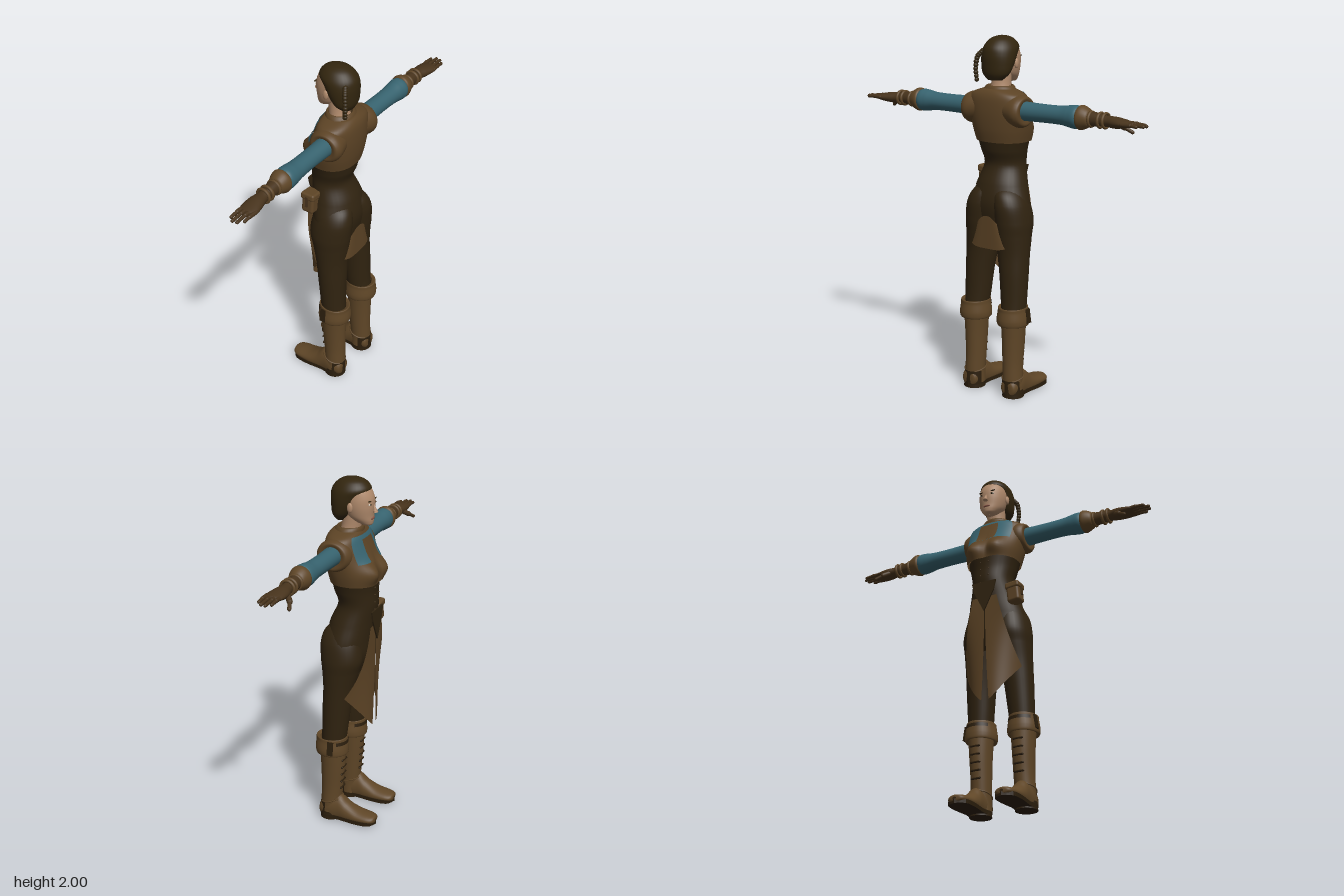
import * as THREE from 'three';
import { ParametricGeometry } from 'three/addons/geometries/ParametricGeometry.js';
import { RoundedBoxGeometry } from 'three/addons/geometries/RoundedBoxGeometry.js';

const material = (name, color, double = true) => new THREE.MeshStandardMaterial({
  name, color, side: double ? THREE.DoubleSide : THREE.FrontSide });
const M = {
  hair: material('dark hair', 0x33260f), skin: material('skin', 0xb08a6c),
  jacket: material('jacket leather', 0x5c4325), dark: material('dark cloth', 0x302310),
  shirt: material('teal shirt', 0x37636f), boot: material('boot leather', 0x5f4627),
  sole: material('sole', 0x2b1e0d), glove: material('glove', 0x47331c),
  eye: material('eye white', 0xd0c4b4), lip: material('lips', 0x8a5646),
};

function add(parent, name, geometry, mat, pos = [0, 0, 0], scale = [1, 1, 1], rot = [0, 0, 0]) {
  const mesh = new THREE.Mesh(geometry, mat);
  mesh.name = name;
  mesh.position.set(...pos);
  mesh.scale.set(...scale);
  mesh.rotation.set(...rot);
  parent.add(mesh);
  return mesh;
}

// Smooth interpolation between rows [station, centre1, centre2, radius1, radius2]
function sample(rows, f) {
  const n = rows.length - 1, i = Math.min(Math.floor(f), n - 1), t = f - i;
  const at = k => rows[Math.max(0, Math.min(n, k))];
  return rows[0].map((_, k) => {
    const [a, b, c, d] = [at(i - 1)[k], at(i)[k], at(i + 1)[k], at(i + 2)[k]];
    return b + 0.5 * t * (c - a + t * (2 * a - 5 * b + 4 * c - d + t * (3 * (b - c) + d - a)));
  });
}

// Skin of elliptical sections along an axis; options cut out a patch or push it outward
function loft(rows, axis = 'y', o = {}) {
  const { t0 = 0, t1 = Math.PI * 2, v0 = 0, v1 = rows.length - 1, grow = 0, power = 1, warp, nu = 32 } = o;
  const bend = q => Math.sign(q) * Math.abs(q) ** power;
  return new ParametricGeometry((u, v, p) => {
    const a = t0 + (t1 - t0) * u, s = bend(Math.sin(a)), c = bend(Math.cos(a));
    const [w, c1, c2, ra, rb] = sample(rows, v0 + (v1 - v0) * v);
    const r1 = ra + grow, r2 = rb + grow;
    if (axis === 'y') p.set(c1 + r1 * s, w, c2 + r2 * c);
    else if (axis === 'x') p.set(w, c1 + r1 * c, c2 + r2 * s);
    else p.set(c1 + r1 * c, c2 + r2 * s, w);
    if (warp) warp(p);
  }, nu, Math.ceil((v1 - v0) * 6));
}

// Rounded rod between two points
function rod(parent, name, a, b, r, mat) {
  const A = new THREE.Vector3(...a), B = new THREE.Vector3(...b), d = B.clone().sub(A);
  const mesh = add(parent, name, new THREE.CapsuleGeometry(r, d.length(), 4, 10), mat);
  mesh.position.copy(A).add(B).multiplyScalar(0.5);
  mesh.quaternion.setFromUnitVectors(new THREE.Vector3(0, 1, 0), d.normalize());
}

const ball = new THREE.SphereGeometry(1, 20, 14);

function buildHead(g) {
  add(g, 'neck', loft([[1.67, 0, 0.035, 0.065, 0.06], [1.74, 0, 0.02, 0.055, 0.053], [1.82, 0, 0.01, 0.055, 0.055]]), M.skin);
  add(g, 'face', loft([[1.745, 0, -0.07, 0.003, 0.003], [1.75, 0, -0.07, 0.027, 0.027], [1.77, 0, -0.05, 0.048, 0.054],
    [1.80, 0, -0.03, 0.066, 0.075], [1.85, 0, -0.02, 0.078, 0.089], [1.90, 0, -0.01, 0.08, 0.095],
    [1.95, 0, 0, 0.072, 0.08], [1.98, 0, 0, 0.04, 0.04]]), M.skin);
  add(g, 'hair', loft([[1.765, 0, 0.075, 0.045, 0.03], [1.80, 0, 0.065, 0.08, 0.058], [1.85, 0, 0.05, 0.093, 0.08],
    [1.90, 0, 0.036, 0.096, 0.096], [1.94, 0, 0.018, 0.09, 0.106], [1.975, 0, 0.014, 0.066, 0.08],
    [1.993, 0, 0.014, 0.035, 0.045], [2.0, 0, 0.014, 0.002, 0.002]]), M.hair);
  // Braid made of overlapping beads
  const braid = new THREE.CatmullRomCurve3([[-0.06, 1.92, 0.10], [-0.085, 1.89, 0.115], [-0.094, 1.83, 0.122], [-0.09, 1.765, 0.118]]
    .map(p => new THREE.Vector3(...p)));
  for (let i = 0; i < 11; i++) add(g, 'braid', ball, M.hair, braid.getPoint(i / 10).toArray(), [0.017 - i * 0.0006, 0.013, 0.014]);
  add(g, 'nose', new THREE.ConeGeometry(0.014, 0.05, 12), M.skin, [0, 1.843, -0.112], [1, 1, 1], [0.22, 0, 0]);
  add(g, 'nose tip', ball, M.skin, [0, 1.826, -0.115], [0.013, 0.009, 0.011]);
  add(g, 'lips', ball, M.lip, [0, 1.788, -0.1], [0.022, 0.008, 0.009]);
  for (const s of [-1, 1]) {
    add(g, 'eye', ball, M.eye, [s * 0.032, 1.866, -0.098], [0.014, 0.006, 0.006]);
    add(g, 'iris', ball, M.hair, [s * 0.032, 1.866, -0.102], [0.006, 0.006, 0.004]);
    add(g, 'eyebrow', ball, M.hair, [s * 0.034, 1.884, -0.098], [0.02, 0.003, 0.006], [0, 0, s * 0.12]);
    add(g, 'ear', ball, M.skin, [s * 0.084, 1.852, -0.006], [0.01, 0.027, 0.016]);
  }
}

function buildTorso(g) {
  const body = [[0.9, 0, 0.03, 0.15, 0.08], [1.0, 0, 0.025, 0.19, 0.112], [1.1, 0, 0.025, 0.178, 0.125], [1.2, 0, 0.008, 0.145, 0.12],
    [1.3, 0, -0.02, 0.116, 0.106], [1.38, 0, -0.008, 0.13, 0.116], [1.445, 0, -0.004, 0.148, 0.126]];
  add(g, 'hips', loft(body, 'y', { v1: 3 }), M.dark);
  add(g, 'corset', loft(body, 'y', { v0: 2.8, grow: 0.003 }), M.dark);
  const point = new THREE.Shape([[-0.075, 0.09], [-0.06, 0.03], [0, -0.09], [0.06, 0.03], [0.075, 0.09]].map(p => new THREE.Vector2(...p)));
  add(g, 'corset point', new THREE.ExtrudeGeometry(point, { depth: 0.008, bevelEnabled: false }), M.dark, [0, 1.19, -0.134]);
  for (let i = 0; i < 5; i++) for (const s of [-1, 1])
    add(g, 'corset stud', ball, M.glove, [s * 0.025, 1.24 + i * 0.042, -0.127], [0.004, 0.004, 0.004]);

  // Jacket with a full bust, open at the neckline
  const bust = p => {
    if (p.z < 0) p.z -= 0.045 * Math.exp(-((Math.abs(p.x) - 0.075) ** 2 + (p.y - 1.5) ** 2) / 0.0035);
  };
  const jacket = [[1.432, 0, -0.004, 0.152, 0.13], [1.5, 0, 0.008, 0.168, 0.132], [1.58, 0, 0.025, 0.18, 0.122], [1.65, 0, 0.037, 0.18, 0.108],
    [1.69, 0, 0.04, 0.16, 0.096], [1.715, 0, 0.038, 0.095, 0.08], [1.72, 0, 0.035, 0.06, 0.06]];
  const cut = (t, v0, v1, grow) => loft(jacket, 'y', { t0: Math.PI - t, t1: Math.PI + t, v0, v1, grow, power: 0.88, warp: bust });
  add(g, 'jacket', loft(jacket, 'y', { power: 0.88, warp: bust, nu: 48 }), M.jacket);
  add(g, 'shirt front', cut(0.8, 1.75, 4.3, 0.004), M.shirt);
  add(g, 'jacket front flap', cut(0.27, 1.7, 3.7, 0.009), M.jacket);
  add(g, 'collar', loft([[1.70, 0, 0.035, 0.10, 0.082], [1.725, 0, 0.03, 0.085, 0.075], [1.735, 0, 0.028, 0.07, 0.065], [1.715, 0, 0.028, 0.058, 0.055]]), M.jacket);

  // Split front apron and rear flap
  for (const s of [-1, 1]) add(g, 'apron panel', new ParametricGeometry((u, v, p) => {
    const inner = 0.002 + 0.02 * v * v, outer = 0.075 + 0.095 * v;
    p.set(s * (inner + (outer - inner) * u), 1.19 - (0.61 - 0.2 * u ** 1.3) * v, -0.124 + 0.008 * v + 0.108 * u * u * v ** 2.5);
  }, 14, 20), M.jacket);
  add(g, 'rear flap', new ParametricGeometry((u, v, p) => {
    const a = u * 2 - 1;
    p.set(a * (0.1 + 0.045 * v), (1.03 - 0.09 * a * a) * (1 - v) + (0.845 + 0.03 * a ** 4) * v, 0.153 - 0.035 * a ** 4);
  }, 18, 8), M.jacket);

  // Hip pouch
  add(g, 'pouch', new RoundedBoxGeometry(0.075, 0.10, 0.075, 3, 0.015), M.jacket, [-0.156, 1.195, -0.055], [1, 1, 1], [0, 0, -0.1]);
  add(g, 'pouch lid', new RoundedBoxGeometry(0.085, 0.04, 0.085, 3, 0.012), M.boot, [-0.152, 1.245, -0.055], [1, 1, 1], [0, 0, -0.1]);
  add(g, 'pouch strap', new THREE.BoxGeometry(0.09, 0.06, 0.015), M.glove, [-0.155, 1.215, -0.055], [1, 1, 1], [0, 0, -0.1]);
}

function buildArm(g) {
  add(g, 'jacket shoulder', loft([[0.09, 1.612, 0.045, 0.08, 0.09], [0.15, 1.606, 0.05, 0.088, 0.098], [0.18, 1.605, 0.052, 0.082, 0.09],
    [0.192, 1.607, 0.052, 0.07, 0.074], [0.186, 1.61, 0.052, 0.045, 0.045]], 'x'), M.jacket);
  add(g, 'sleeve', loft([[0.17, 1.61, 0.052, 0.052, 0.054], [0.3, 1.61, 0.052, 0.049, 0.05], [0.42, 1.611, 0.054, 0.05, 0.052],
    [0.48, 1.611, 0.055, 0.059, 0.057], [0.52, 1.611, 0.056, 0.061, 0.058], [0.55, 1.611, 0.056, 0.045, 0.045]], 'x'), M.shirt);
  add(g, 'sleeve cuff', loft([[0.525, 1.611, 0.055, 0.045, 0.045], [0.538, 1.611, 0.055, 0.064, 0.06], [0.56, 1.612, 0.055, 0.062, 0.058],
    [0.59, 1.611, 0.055, 0.046, 0.045], [0.6, 1.611, 0.055, 0.03, 0.03]], 'x'), M.boot);
  add(g, 'glove', loft([[0.56, 1.61, 0.055, 0.042, 0.04], [0.64, 1.61, 0.055, 0.036, 0.034], [0.7, 1.607, 0.055, 0.029, 0.032],
    [0.75, 1.605, 0.056, 0.03, 0.044], [0.8, 1.605, 0.062, 0.023, 0.05], [0.835, 1.605, 0.066, 0.014, 0.047], [0.845, 1.605, 0.066, 0.002, 0.03]], 'x'), M.glove);
  for (const x of [0.605, 0.66, 0.69])
    add(g, 'wrist strap', new THREE.TorusGeometry(0.037, 0.008, 8, 24), M.boot, [x, 1.609, 0.055], [1, 1, 1], [0, Math.PI / 2, 0]);
  [[0.028, 0.905], [0.052, 0.926], [0.077, 0.922], [0.102, 0.895]].forEach(([z, tip]) => {
    rod(g, 'finger', [0.81, 1.606, z + 0.002], [0.86, 1.607, z], 0.011, M.glove);
    rod(g, 'fingertip', [0.86, 1.607, z], [tip, 1.603, z], 0.009, M.glove);
  });
  rod(g, 'thumb base', [0.735, 1.6, 0.035], [0.77, 1.575, 0.002], 0.015, M.glove);
  rod(g, 'thumb', [0.77, 1.575, 0.002], [0.808, 1.552, -0.014], 0.01, M.glove);
}

function buildLeg(g) {
  add(g, 'trouser leg', loft([[0.44, 0.13, 0.08, 0.065, 0.07], [0.55, 0.125, 0.07, 0.073, 0.072], [0.7, 0.118, 0.06, 0.082, 0.08],
    [0.82, 0.108, 0.05, 0.092, 0.088], [0.92, 0.102, 0.042, 0.099, 0.104], [1.0, 0.1, 0.036, 0.101, 0.119],
    [1.1, 0.088, 0.043, 0.092, 0.115], [1.17, 0.065, 0.035, 0.07, 0.09], [1.21, 0.05, 0.02, 0.01, 0.01]]), M.dark);
  add(g, 'boot shaft', loft([[0.03, 0.135, 0.09, 0.06, 0.058], [0.1, 0.133, 0.09, 0.057, 0.06], [0.2, 0.13, 0.085, 0.057, 0.063],
    [0.33, 0.13, 0.08, 0.062, 0.07], [0.46, 0.13, 0.08, 0.07, 0.076]]), M.boot);
  add(g, 'boot cuff', loft([[0.43, 0.13, 0.083, 0.065, 0.07], [0.42, 0.13, 0.083, 0.084, 0.09], [0.45, 0.13, 0.085, 0.089, 0.095],
    [0.5, 0.13, 0.085, 0.082, 0.09], [0.523, 0.13, 0.085, 0.079, 0.088], [0.515, 0.13, 0.083, 0.066, 0.07]]), M.boot);
  // Cuff strap, front laces and ankle seam
  add(g, 'cuff strap', new THREE.BoxGeometry(0.006, 0.08, 0.035), M.sole, [0.216, 0.475, 0.06], [1, 1, 1], [0, 0, 0.15]);
  add(g, 'cuff band', loft([[0.488, 0.13, 0.085, 0.086, 0.094], [0.508, 0.13, 0.085, 0.083, 0.092]], 'y', { t0: 2.2, t1: 4.1 }), M.sole);
  for (let i = 0; i < 5; i++)
    rod(g, 'boot lace', [0.105, 0.2 + i * 0.045, 0.022 - i * 0.003], [0.155, 0.2 + i * 0.045, 0.022 - i * 0.003], 0.006, M.sole);
  add(g, 'ankle seam', new THREE.TorusGeometry(0.062, 0.004, 6, 28), M.boot, [0.133, 0.115, 0.085], [1, 1.05, 1], [Math.PI / 2 + 0.3, 0, 0]);
  add(g, 'boot foot', loft([[-0.19, 0.137, 0.035, 0.01, 0.008], [-0.182, 0.137, 0.035, 0.038, 0.02], [-0.15, 0.137, 0.035, 0.055, 0.028],
    [-0.08, 0.137, 0.038, 0.06, 0.04], [-0.02, 0.137, 0.045, 0.056, 0.065], [0.03, 0.137, 0.06, 0.053, 0.09],
    [0.09, 0.137, 0.06, 0.056, 0.08], [0.145, 0.137, 0.055, 0.045, 0.045], [0.153, 0.137, 0.055, 0.005, 0.005]], 'z',
  { warp: p => { p.y = Math.max(p.y, 0.02); } }), M.boot);
  const outline = new THREE.Shape(new THREE.SplineCurve([[0.137, -0.192], [0.19, -0.16], [0.2, -0.08], [0.19, 0.03], [0.195, 0.11],
    [0.137, 0.156], [0.08, 0.11], [0.085, 0.03], [0.075, -0.08], [0.084, -0.16], [0.137, -0.192]].map(p => new THREE.Vector2(...p))).getPoints(40));
  add(g, 'sole', new THREE.ExtrudeGeometry(outline, { depth: 0.022, bevelEnabled: false }), M.sole, [0, 0.03, 0], [1, 1, 1], [Math.PI / 2, 0, 0]);
  add(g, 'heel', new THREE.CylinderGeometry(0.058, 0.062, 0.045, 24), M.sole, [0.137, 0.0225, 0.092]);
  add(g, 'heel counter', loft([[0.02, 0.137, 0.09, 0.063, 0.064], [0.06, 0.135, 0.09, 0.062, 0.064], [0.1, 0.133, 0.09, 0.059, 0.062]],
    'y', { t0: -1.3, t1: 1.3 }), M.sole);
}

export function createModel() {
  const model = new THREE.Group();
  model.name = 'adventurer';
  const part = (name, build, mirror = 1) => {
    const g = new THREE.Group();
    g.name = name;
    g.scale.x = mirror;
    build(g);
    model.add(g);
  };
  part('head', buildHead);
  part('torso', buildTorso);
  // The figure faces -z; limbs are mirrored across x
  for (const [side, s] of [['left', 1], ['right', -1]]) {
    part(side + ' arm', buildArm, s);
    part(side + ' leg', buildLeg, s);
  }
  return model;
}
